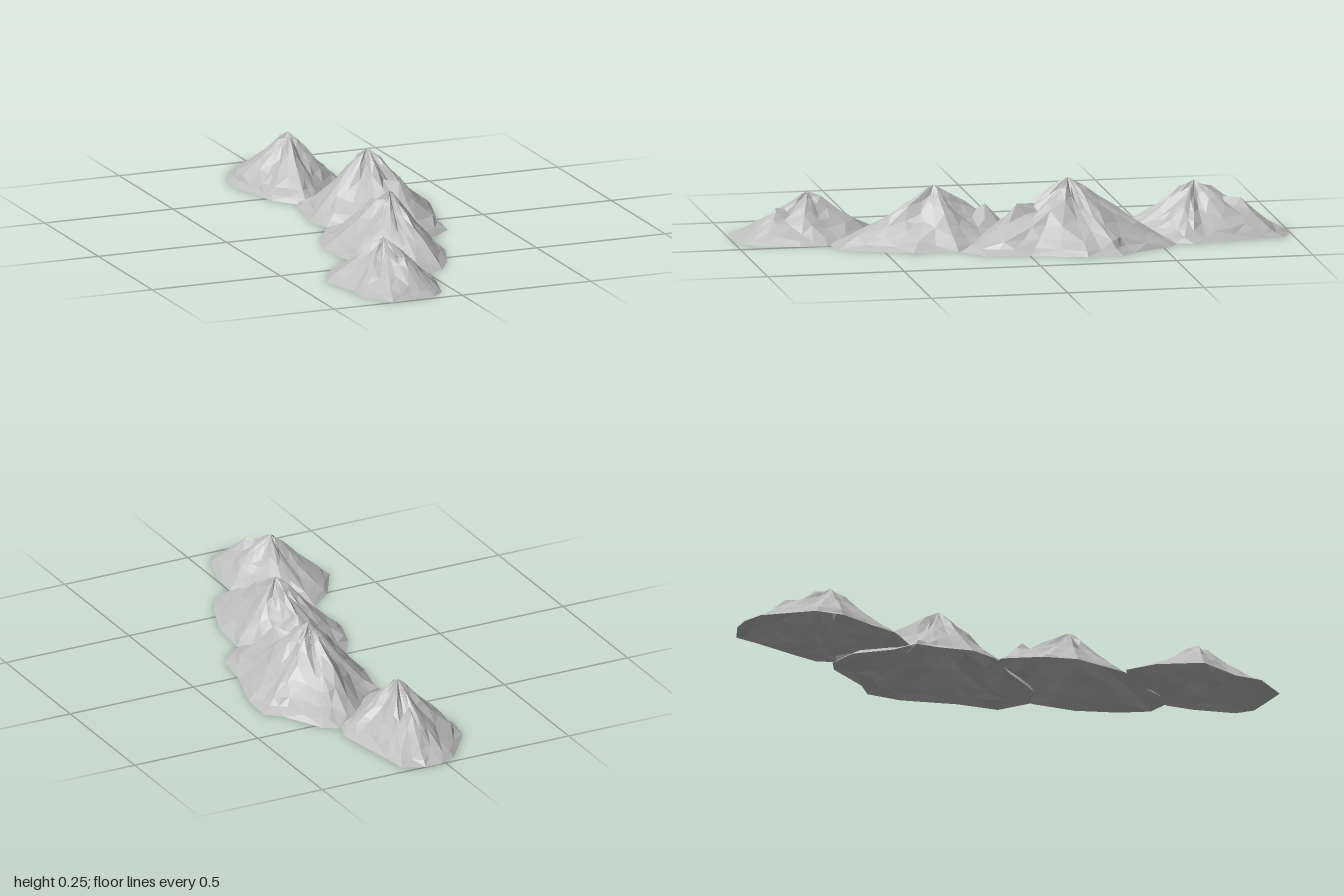
import * as THREE from 'three';

// Slope shared by every mountain: [distance from peak to foot, share of peak height]
const SLOPE = [[0.08, 0.9], [0.18, 0.79], [0.32, 0.63], [0.46, 0.49], [0.61, 0.35], [0.78, 0.19], [0.9, 0.085], [1, 0]];

// Each mountain: summit [x, y, z], lower spur [x, y, z], foot outline [x, z]
const MOUNTAINS = [
  {
    name: 'frontMountain', summit: [-0.187, 0.167, 0.715], spur: [-0.16, 0.115, 0.84],
    foot: [[-0.387, 0.64], [-0.3, 0.49], [-0.21, 0.415], [-0.12, 0.46], [-0.04, 0.57], [0, 0.68], [-0.01, 0.78],
      [-0.05, 0.93], [-0.1, 0.98], [-0.18, 0.99], [-0.27, 1], [-0.345, 0.89], [-0.34, 0.79]],
  },
  {
    name: 'middleMountain', summit: [0.012, 0.213, 0.295], spur: [0.02, 0.14, 0.11],
    foot: [[-0.19, 0.42], [-0.215, 0.22], [-0.18, 0.1], [-0.1, -0.03], [0, -0.05], [0.1, 0], [0.18, 0.1], [0.2, 0.24],
      [0.185, 0.4], [0.13, 0.55], [0.07, 0.65], [-0.02, 0.675], [-0.06, 0.63], [-0.12, 0.5]],
  },
  {
    name: 'tallMountain', summit: [0.123, 0.246, -0.175], spur: [0.165, 0.163, 0.02],
    foot: [[-0.08, -0.36], [-0.085, -0.28], [-0.115, -0.15], [-0.09, -0.05], [0, 0.05], [0.1, 0.2], [0.2, 0.23],
      [0.3, 0.15], [0.32, 0], [0.38, -0.2], [0.385, -0.33], [0.33, -0.38], [0.25, -0.53], [0.2, -0.56], [0.1, -0.53],
      [0, -0.41]],
  },
  {
    name: 'backMountain', summit: [0.015, 0.196, -0.66], spur: [0.045, 0.13, -0.825],
    foot: [[-0.04, -0.355], [-0.13, -0.47], [-0.15, -0.57], [-0.185, -0.7], [-0.17, -0.81], [-0.05, -0.97], [0.02, -1],
      [0.08, -1], [0.16, -0.965], [0.17, -0.88], [0.2, -0.72], [0.215, -0.62], [0.19, -0.55], [0.11, -0.46],
      [0.03, -0.38]],
  },
];

function seeded(seed) {
  return () => (seed = (seed * 16807) % 2147483647) / 2147483647;
}

function mountainGeometry({ summit, spur, foot }, seed) {
  const rand = seeded(seed);
  const [sx, sy, sz] = summit;
  const angle = ([x, z]) => Math.atan2(z - sz, x - sx);
  const corners = [...foot].sort((a, b) => angle(a) - angle(b));

  // One spoke to each corner of the foot and one to each edge middle
  const spokes = corners.flatMap((a, i) => {
    const b = corners[(i + 1) % corners.length];
    return [a, [(a[0] + b[0]) / 2, (a[1] + b[1]) / 2]];
  });
  const n = spokes.length;
  const ridge = spokes.map((_, i) => 0.12 * Math.cos((i * Math.PI) / 3) + (rand() - 0.5) * 0.06);

  // Rings of points down the slope, with ridges, gullies and the spur's cone
  const points = [new THREE.Vector3(...summit)];
  SLOPE.forEach(([t, h], ring) => {
    const last = ring === SLOPE.length - 1;
    spokes.forEach(([fx, fz], i) => {
      const s = last ? 1 : t * (1 + (rand() - 0.5) * 0.1);
      const x = sx + (fx - sx) * s;
      const z = sz + (fz - sz) * s;
      let y = sy * h * (1 + ridge[i] * Math.min(1, t * 4) + (rand() - 0.5) * 0.08);
      const d = Math.hypot(x - spur[0], z - spur[2]);
      y = Math.max(y, spur[1] * (1 - d / 0.14));
      points.push(new THREE.Vector3(x, last ? 0 : Math.min(y, sy * (1 - 0.55 * t)), z));
    });
  });

  // Pull the nearest point to the tip of the spur
  const tip = new THREE.Vector3(...spur);
  const flat = (p) => Math.hypot(p.x - tip.x, p.z - tip.z);
  points.slice(1, -n).reduce((a, b) => (flat(b) < flat(a) ? b : a)).copy(tip);

  const index = [];
  for (let i = 0; i < n; i++) {
    const j = (i + 1) % n;
    index.push(0, 1 + j, 1 + i);
    for (let r = 0; r < SLOPE.length - 1; r++) {
      const a = 1 + r * n + i, b = 1 + r * n + j;
      if ((i + r) % 2) index.push(a, b, b + n, a, b + n, a + n);
      else index.push(a, b, a + n, b, b + n, a + n);
    }
  }
  const geometry = new THREE.BufferGeometry().setFromPoints(points);
  geometry.setIndex(index);
  const faceted = geometry.toNonIndexed();
  faceted.computeVertexNormals();
  return faceted;
}

export function createModel() {
  const group = new THREE.Group();
  group.name = 'mountainRange';
  const rock = new THREE.MeshStandardMaterial({ color: 0xbcbcbc, flatShading: true, side: THREE.DoubleSide });
  rock.name = 'greyRock';

  // Four open-bottomed mountains that overlap in a winding chain
  MOUNTAINS.forEach((mountain, i) => {
    const mesh = new THREE.Mesh(mountainGeometry(mountain, 101 + i * 977), rock);
    mesh.name = mountain.name;
    group.add(mesh);
  });
  return group;
}
